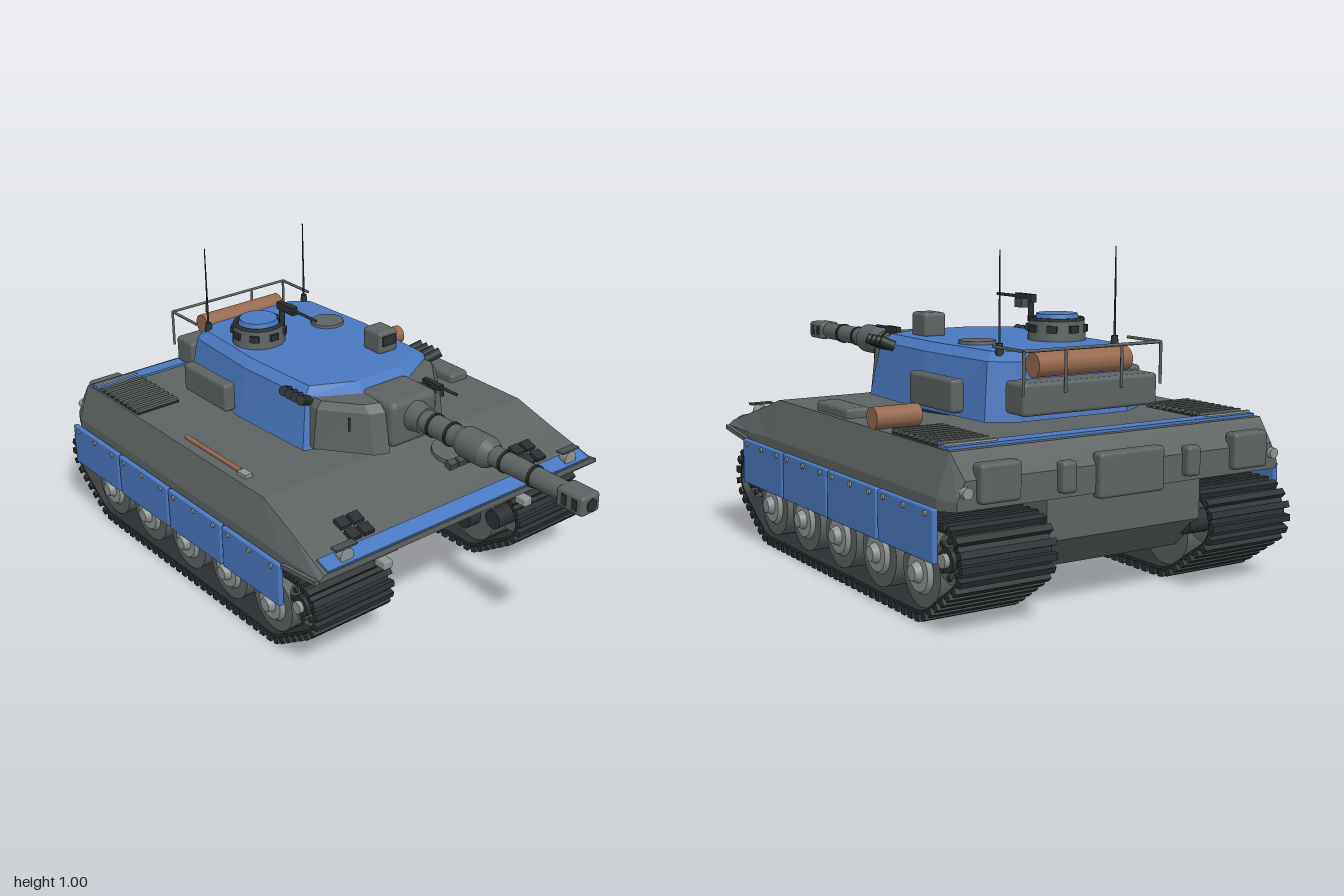
import * as THREE from 'three';
import { mergeGeometries } from 'three/addons/utils/BufferGeometryUtils.js';
import { RoundedBoxGeometry } from 'three/addons/geometries/RoundedBoxGeometry.js';

const mat = (name, color) => Object.assign(new THREE.MeshStandardMaterial({ color }), { name });
const GRAY = mat('armour gray', 0x5c6362), BLUE = mat('blue paint', 0x4a78c0), DARK = mat('track dark', 0x2b3032);
const TAN = mat('tan canvas', 0x96694f), LIGHT = mat('light metal', 0x8f9594), STEEL = mat('gun steel', 0x4a5051);
const V = (x, y, z) => new THREE.Vector3(x, y, z);

// Closed faceted solid through rings of [x, y, z] points, oriented outward
function loft(rings) {
  const tris = [], n = rings[0].length;
  for (let r = 0; r + 1 < rings.length; r++) for (let i = 0; i < n; i++) {
    const j = (i + 1) % n, a = rings[r], b = rings[r + 1];
    tris.push([a[i], a[j], b[j]], [a[i], b[j], b[i]]);
  }
  const first = rings[0], last = rings[rings.length - 1];
  for (let i = 1; i + 1 < n; i++) tris.push([first[0], first[i + 1], first[i]], [last[0], last[i], last[i + 1]]);
  let vol = 0;
  for (const [a, b, c] of tris) vol += V(...a).dot(V(...b).cross(V(...c)));
  if (vol < 0) tris.forEach(t => t.reverse());
  const g = new THREE.BufferGeometry();
  g.setAttribute('position', new THREE.Float32BufferAttribute(tris.flat(2), 3));
  g.computeVertexNormals();
  return g;
}

// Outer tangent loop around circles [x, y, r] listed counter-clockwise
function beltLoop(circles, grow, Type) {
  const n = circles.length;
  const ang = circles.map(([x, y, r], i) => {
    const [u, v, q] = circles[(i + 1) % n], dx = u - x, dy = v - y;
    return Math.atan2(dy, dx) - Math.acos((r - q) / Math.hypot(dx, dy));
  });
  const s = new Type();
  circles.forEach(([x, y, r], i) => s.absarc(x, y, r + grow, ang[(i + n - 1) % n], ang[i], false));
  s.closePath();
  return s;
}

export function createModel() {
  const model = new THREE.Group();
  model.name = 'tank';
  const add = (name, geo, m, x = 0, y = 0, z = 0, rz = 0) => {
    const mesh = new THREE.Mesh(geo, m);
    mesh.name = name;
    mesh.position.set(x, y, z);
    mesh.rotation.z = rz;
    model.add(mesh);
    return mesh;
  };
  const box = (name, m, w, h, d, x, y, z, rz = 0) => add(name, new THREE.BoxGeometry(w, h, d), m, x, y, z, rz);
  const block = (name, m, w, h, d, x, y, z, r = 0.012) => add(name, new RoundedBoxGeometry(w, h, d, 2, r), m, x, y, z);
  const rod = (name, m, a, b, r, r2 = r, seg = 20) => {
    const p = V(...a), q = V(...b), d = q.clone().sub(p);
    const mesh = add(name, new THREE.CylinderGeometry(r2, r, d.length(), seg), m);
    mesh.position.copy(p).add(q).multiplyScalar(0.5);
    mesh.quaternion.setFromUnitVectors(V(0, 1, 0), d.normalize());
    return mesh;
  };
  const SLOPE = -0.32, deckY = x => 0.49 - Math.max(0, x - 0.17) * 0.333;

  // Upper hull with bevelled sides and sloping glacis
  const section = ([x, yb, ym, wb, yt, wt]) =>
    [[x, yb, -wb], [x, ym, -wb], [x, yt, -wt], [x, yt, wt], [x, ym, wb], [x, yb, wb]];
  add('upperHull', loft([
    [-0.95, 0.34, 0.365, 0.565, 0.42, 0.54], [-0.89, 0.335, 0.37, 0.592, 0.49, 0.55],
    [0.17, 0.335, 0.37, 0.592, 0.49, 0.55], [0.33, 0.335, 0.365, 0.592, 0.436, 0.56],
    [0.5, 0.36, 0.366, 0.592, 0.38, 0.575]].map(section)), GRAY);
  // Lower hull
  const low = [[-0.94, 0.36], [-0.94, 0.22], [-0.84, 0.12], [0.2, 0.12], [0.48, 0.36]];
  add('lowerHull', loft([-0.272, 0.272].map(z => low.map(([x, y]) => [x, y, z]))), GRAY);

  // Painted stripes and fittings on the deck
  box('rearStripe', BLUE, 0.05, 0.008, 1.09, -0.845, 0.494, 0);
  box('frontStripe', BLUE, 0.055, 0.009, 1.12, 0.472, deckY(0.472) + 0.003, 0, SLOPE);
  rod('driverHatch', GRAY, [0.265, deckY(0.265) - 0.01, -0.13], [0.271, deckY(0.265) + 0.012, -0.13], 0.06);
  for (const k of [-1, 0, 1]) box('driverPeriscope', STEEL, 0.025, 0.025, 0.032, 0.325, deckY(0.325) + 0.01, -0.13 + k * 0.04, SLOPE);
  block('deckBox', GRAY, 0.21, 0.04, 0.08, -0.175, 0.5, -0.495);
  rod('canvasRoll', TAN, [-0.48, 0.522, -0.41], [-0.48, 0.522, -0.56], 0.033);
  rod('shovelHandle', TAN, [-0.31, 0.498, 0.512], [0, 0.498, 0.512], 0.008, 0.008, 8);
  box('shovelBlade', LIGHT, 0.045, 0.012, 0.028, 0.02, 0.497, 0.512);

  // Track path circles: sprocket, first wheel, last wheel, idler
  const wheelsX = [-0.75, -0.51, -0.27, -0.03, 0.21];
  const belt = [[-0.895, 0.2, 0.075], [-0.75, 0.135, 0.105], [0.21, 0.135, 0.105], [0.365, 0.2, 0.075]];
  const band = beltLoop(belt, 0.012, THREE.Shape);
  const path = beltLoop(belt, 0.018, THREE.Path);
  band.holes.push(beltLoop(belt, 0, THREE.Path));
  const bandGeo = new THREE.ExtrudeGeometry(band, { depth: 0.29, bevelEnabled: false, curveSegments: 12 });
  bandGeo.translate(0, 0, -0.145);
  const links = [], LINKS = 84;
  for (let i = 0; i < LINKS; i++) {
    const p = path.getPointAt(i / LINKS), t = path.getTangentAt(i / LINKS), a = Math.atan2(t.y, t.x);
    for (const [w, h, d, off] of [[0.02, 0.022, 0.305, 0], [0.016, 0.03, 0.02, -0.022]]) {
      const g = new THREE.BoxGeometry(w, h, d);
      g.translate(0, -off * -1, 0);
      if (off) g.translate(0, 0.044, 0);
      links.push(g.rotateZ(a).translate(p.x, p.y, 0));
    }
  }
  const linkGeo = mergeGeometries(links);

  for (const s of [1, -1]) {
    // Running gear
    add('trackBand', bandGeo, DARK, 0, 0, s * 0.428);
    add('trackLinks', linkGeo, DARK, 0, 0, s * 0.428);
    for (const x of wheelsX) {
      const disc = (name, m, z0, z1, r, r2 = r) => rod(name, m, [x, 0.135, s * z0], [x, 0.135, s * z1], r, r2, 28);
      disc('innerWheel', GRAY, 0.31, 0.41, 0.101);
      disc('axle', DARK, 0.26, 0.5, 0.04);
      disc('outerWheel', GRAY, 0.45, 0.555, 0.101);
      disc('wheelDish', LIGHT, 0.55, 0.568, 0.068, 0.055);
      disc('wheelHub', LIGHT, 0.565, 0.588, 0.032, 0.022);
    }
    for (const [x, name] of [[-0.895, 'sprocket'], [0.365, 'idler']]) {
      for (const z of [0.33, 0.5]) rod(name, GRAY, [x, 0.2, s * z], [x, 0.2, s * (z + 0.05)], 0.07);
      rod(name + 'Axle', DARK, [x, 0.2, s * 0.25], [x, 0.2, s * 0.565], 0.035);
      rod(name + 'Hub', LIGHT, [x, 0.2, s * 0.56], [x, 0.2, s * 0.58], 0.02);
      for (let k = 0; k < 8; k++) {
        const a = k * Math.PI / 4;
        rod(name + 'Bolt', DARK, [x + 0.05 * Math.cos(a), 0.2 + 0.05 * Math.sin(a), s * 0.548],
          [x + 0.05 * Math.cos(a), 0.2 + 0.05 * Math.sin(a), s * 0.558], 0.009, 0.009, 6);
      }
    }
    // Side skirts and bolts
    for (let k = 0; k < 4; k++) {
      const x = -0.757 + k * 0.311;
      block('skirtPanel', BLUE, 0.302, 0.148, 0.018, x, 0.272, s * 0.605, 0.005);
      for (const b of [-0.115, 0, 0.115]) rod('skirtBolt', LIGHT, [x + b, 0.33, s * 0.612], [x + b, 0.33, s * 0.62], 0.008, 0.008, 8);
    }
    // Front fender, lamp, tow hook and vision blocks
    box('frontFender', GRAY, 0.17, 0.014, 0.32, 0.41, 0.35, s * 0.445, 0.12);
    rod('headlight', LIGHT, [0.455, 0.405, s * 0.48], [0.49, 0.405, s * 0.48], 0.02, 0.026);
    box('headlightGuard', STEEL, 0.03, 0.006, 0.08, 0.475, 0.434, s * 0.48);
    block('towHook', LIGHT, 0.05, 0.03, 0.035, 0.45, 0.295, s * 0.305, 0.006);
    for (const x of [0.365, 0.415]) for (const z of [0.348, 0.398])
      box('visionBlock', DARK, 0.04, 0.018, 0.04, x, deckY(x) + 0.005, s * z, SLOPE);
    // Engine grille
    box('grilleBed', DARK, 0.25, 0.008, 0.165, -0.69, 0.492, s * 0.46);
    for (let k = 0; k < 9; k++) box('grilleSlat', GRAY, 0.014, 0.014, 0.165, -0.807 + k * 0.029, 0.498, s * 0.46);
    box('stripeRail', LIGHT, 0.012, 0.008, 0.17, -0.845, 0.5, s * 0.46);
    // Rear plate fittings
    block('rearLocker', GRAY, 0.05, 0.11, 0.13, -0.95, 0.41, s * 0.44);
    block('rearBracket', GRAY, 0.04, 0.09, 0.05, -0.958, 0.4, s * 0.22);
    rod('tailLamp', LIGHT, [-0.94, 0.39, s * 0.54], [-0.965, 0.39, s * 0.54], 0.016);
    // Turret cheek armour
    const cheek = (y, f, w) => [[-0.02, 0.255 * w], [0.06, 0.262 * w], [f - 0.02, 0.15], [f, 0.1], [0.03, 0.08]].map(([x, z]) => [x, y, s * z]);
    add('turretCheek', loft([cheek(0.52, 0.24, 1.03), cheek(0.655, 0.215, 0.97), cheek(0.68, 0.19, 0.9)]), GRAY);
    box('cheekSlot', DARK, 0.008, 0.04, 0.014, 0.155, 0.62, s * 0.198).rotation.y = s * 0.85;
    // Side bins, smoke launchers and antennas
    block('sideBin', GRAY, 0.25, 0.1, 0.045, -0.445, 0.578, s * 0.325);
    for (let k = 0; k < 4; k++) {
      const x = -0.08 + k * 0.03;
      rod('smokeTube', DARK, [x, 0.668, s * 0.25], [x + 0.025, 0.692, s * 0.298], 0.017, 0.017, 12);
    }
    rod('antennaBase', DARK, [-0.61, 0.69, s * 0.21], [-0.61, 0.73, s * 0.21], 0.014, 0.01, 10);
    rod('antenna', DARK, [-0.61, 0.73, s * 0.21], [-0.61, 1, s * 0.21], 0.004, 0.002, 6);
    // Rack side rails
    rod('rackRail', GRAY, [-0.785, 0.725, s * 0.245], [-0.63, 0.725, s * 0.245], 0.005, 0.005, 6);
    rod('rackPost', GRAY, [-0.785, 0.6, s * 0.245], [-0.785, 0.725, s * 0.245], 0.005, 0.005, 6);
  }
  block('rearPanel', GRAY, 0.045, 0.13, 0.23, -0.95, 0.39, 0);

  // Turret body
  rod('turretRing', DARK, [-0.25, 0.48, 0], [-0.25, 0.515, 0], 0.27, 0.27, 36);
  const outline = (y, half) => [...half, ...[...half].reverse().map(([x, z]) => [x, -z])].map(([x, z]) => [x, y, z]);
  add('turretBody', loft([
    outline(0.508, [[-0.69, 0.2], [-0.64, 0.28], [-0.3, 0.305], [0.03, 0.29], [0.14, 0.11]]),
    outline(0.68, [[-0.67, 0.19], [-0.615, 0.255], [-0.3, 0.275], [0.01, 0.26], [0.1, 0.1]]),
    outline(0.706, [[-0.64, 0.17], [-0.59, 0.225], [-0.3, 0.243], [-0.01, 0.23], [0.06, 0.09]])]), BLUE);
  rod('loaderHatch', GRAY, [-0.39, 0.7, -0.145], [-0.39, 0.716, -0.145], 0.06, 0.057, 28);
  block('sightHousing', GRAY, 0.09, 0.08, 0.08, -0.1, 0.74, -0.145);
  box('sightWindow', DARK, 0.006, 0.035, 0.055, -0.054, 0.748, -0.145);

  // Commander cupola with machine gun
  rod('cupola', GRAY, [-0.42, 0.7, 0.13], [-0.42, 0.768, 0.13], 0.092, 0.086, 32);
  rod('cupolaLid', BLUE, [-0.42, 0.766, 0.13], [-0.42, 0.788, 0.13], 0.07, 0.064, 32);
  const rim = add('cupolaRim', new THREE.TorusGeometry(0.08, 0.008, 6, 32), DARK, -0.42, 0.769, 0.13);
  rim.rotation.x = Math.PI / 2;
  for (let k = 0; k < 8; k++) {
    const a = k * Math.PI / 4;
    box('cupolaBlock', DARK, 0.012, 0.022, 0.032, -0.42 + 0.09 * Math.cos(a), 0.743, 0.13 + 0.09 * Math.sin(a)).rotation.y = -a;
  }
  rod('gunPost', DARK, [-0.365, 0.76, 0.07], [-0.365, 0.83, 0.07], 0.01, 0.01, 8);
  box('machineGun', DARK, 0.09, 0.026, 0.02, -0.335, 0.832, 0.07);
  box('ammunitionBox', STEEL, 0.04, 0.028, 0.025, -0.345, 0.818, 0.047);
  rod('machineGunBarrel', DARK, [-0.3, 0.835, 0.07], [-0.175, 0.835, 0.07], 0.005, 0.005, 8);

  // Bustle rack with canvas roll
  block('bustleBin', GRAY, 0.1, 0.095, 0.48, -0.73, 0.585, 0);
  rod('bustleRoll', TAN, [-0.72, 0.675, -0.17], [-0.72, 0.675, 0.165], 0.036);
  rod('rackBar', GRAY, [-0.785, 0.725, -0.245], [-0.785, 0.725, 0.245], 0.005, 0.005, 6);
  for (const z of [-0.1, 0.1]) rod('rackPost', GRAY, [-0.785, 0.6, z], [-0.785, 0.725, z], 0.005, 0.005, 6);

  // Mantlet, main gun and its small auxiliary gun
  block('mantlet', GRAY, 0.17, 0.16, 0.195, 0.163, 0.61, 0, 0.025);
  for (const [name, m, a, b, r, q] of [
    ['barrelCollar', GRAY, 0.24, 0.3, 0.052, 0.044], ['barrelSleeve', GRAY, 0.29, 0.46, 0.038, 0.036],
    ['evacuatorRear', GRAY, 0.455, 0.485, 0.037, 0.051], ['evacuator', GRAY, 0.485, 0.58, 0.051, 0.051],
    ['evacuatorFront', GRAY, 0.58, 0.61, 0.051, 0.034], ['barrel', GRAY, 0.6, 0.9, 0.033, 0.031],
    ['barrelBand', DARK, 0.335, 0.345, 0.041, 0.041], ['barrelBand', DARK, 0.415, 0.425, 0.041, 0.041],
    ['barrelBand', DARK, 0.65, 0.66, 0.036, 0.036], ['barrelBand', DARK, 0.77, 0.78, 0.036, 0.036],
    ['muzzleBore', DARK, 0.98, 1, 0.02, 0.02]]) rod(name, m, [a, 0.625, 0], [b, 0.625, 0], r, q, 28);
  block('muzzleBrake', GRAY, 0.105, 0.064, 0.076, 0.944, 0.625, 0, 0.012);
  for (const s of [1, -1]) for (const x of [0.925, 0.965]) box('muzzlePort', DARK, 0.02, 0.035, 0.006, x, 0.625, s * 0.037);
  box('auxiliaryGunMount', DARK, 0.03, 0.03, 0.02, 0.21, 0.678, -0.1);
  box('auxiliaryGun', DARK, 0.08, 0.018, 0.018, 0.215, 0.695, -0.1);
  rod('auxiliaryGunBarrel', DARK, [0.25, 0.697, -0.1], [0.33, 0.697, -0.1], 0.005, 0.005, 8);
  return model;
}
